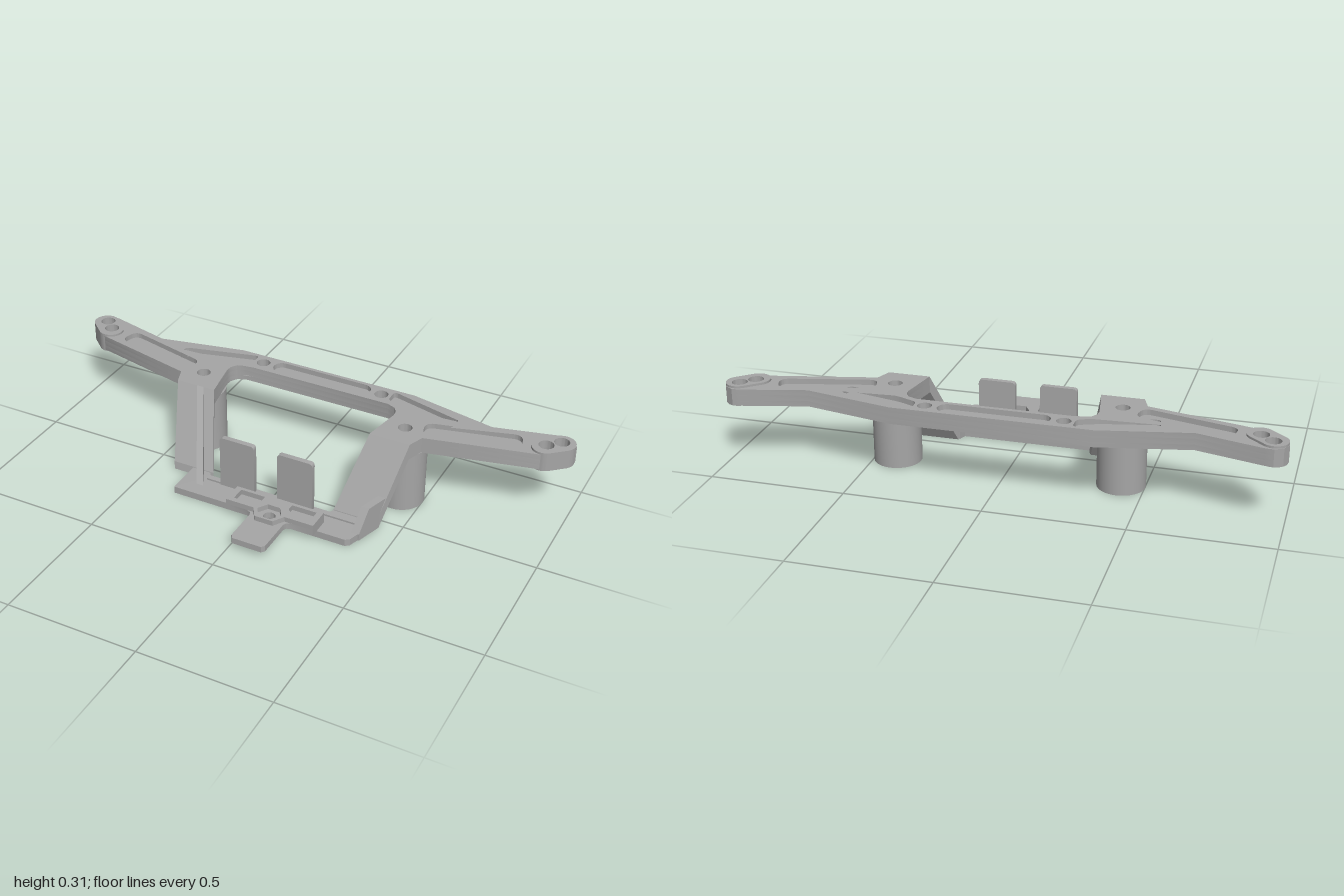
import * as THREE from 'three';
import { toCreasedNormals } from 'three/addons/utils/BufferGeometryUtils.js';

const grey = new THREE.MeshStandardMaterial({ color: 0xa6a6a6 });
grey.name = 'grey plastic';

const flip = (pts) => pts.map(([x, z]) => [-x, z]).reverse();
const polygon = (pts) => new THREE.Shape(pts.map(([a, b]) => new THREE.Vector2(a, b)));
const circle = (x, z, r) => new THREE.Shape().absarc(x, z, r, 0, Math.PI * 2);

// Polygon with rounded corners
function rounded(pts, r) {
  const s = new THREE.Shape();
  const v = pts.map(([a, b]) => new THREE.Vector2(a, b));
  v.forEach((p, i) => {
    const a = v[(i + v.length - 1) % v.length], b = v[(i + 1) % v.length];
    const toward = (q) => p.clone().add(q.clone().sub(p).setLength(Math.min(r, p.distanceTo(q) * 0.48)));
    const start = toward(a), end = toward(b);
    if (i) s.lineTo(start.x, start.y); else s.moveTo(start.x, start.y);
    s.quadraticCurveTo(p.x, p.y, end.x, end.y);
  });
  s.closePath();
  return s;
}

// Stadium between two points
function stadium(x1, z1, x2, z2, r) {
  const a = Math.atan2(z2 - z1, x2 - x1), q = Math.PI / 2;
  const s = new THREE.Shape();
  s.absarc(x2, z2, r, a - q, a + q);
  s.absarc(x1, z1, r, a + q, a + 3 * q);
  s.closePath();
  return s;
}

// Horizontal slab: outline in (x, z), between heights y0 and y1
function slab(name, shape, holes, y0, y1) {
  shape = shape.clone();
  shape.holes = holes;
  const g = new THREE.ExtrudeGeometry(shape, { depth: y1 - y0, bevelEnabled: false, curveSegments: 16 });
  g.rotateX(Math.PI / 2).translate(0, y1, 0);
  const mesh = new THREE.Mesh(toCreasedNormals(g, 0.5), grey);
  mesh.name = name;
  return mesh;
}

// Upright plate: profile in (z, y), its two sides placed by x as a function of z
function sidePlate(name, profile, lowX, highX) {
  const g = new THREE.ExtrudeGeometry(polygon(profile), { depth: 1, bevelEnabled: false });
  g.rotateY(-Math.PI / 2);
  const p = g.attributes.position;
  for (let i = 0; i < p.count; i++) p.setX(i, (p.getX(i) < -0.5 ? lowX : highX)(p.getZ(i)));
  g.computeVertexNormals();
  const mesh = new THREE.Mesh(g, grey);
  mesh.name = name;
  return mesh;
}

export function createModel() {
  const model = new THREE.Group();
  model.name = 'bracket';

  // Winged top plate with pockets on both faces
  const half = [
    [0.36, -0.393], [0.69, -0.325], [0.925, -0.384], [0.955, -0.386], [0.985, -0.368], [1, -0.338],
    [0.993, -0.312], [0.975, -0.295], [0.91, -0.24], [0.495, -0.144], [0.473, -0.085],
    [0.318, -0.085], [0.345, -0.235], [0.343, -0.258], [0.328, -0.282], [0.295, -0.295],
  ];
  const outline = polygon([...half, ...flip(half)]);
  const armPocket = [[0.808, -0.325], [0.468, -0.242], [0.485, -0.165], [0.828, -0.248]];
  const webPocket = [[0.285, -0.382], [0.285, -0.322], [0.36, -0.292], [0.56, -0.247], [0.572, -0.308]];
  const pockets = [stadium(-0.167, -0.345, 0.167, -0.345, 0.034)];
  const bolts = [];
  for (const s of [1, -1]) {
    const side = (pts) => (s > 0 ? pts : flip(pts));
    pockets.push(rounded(side(armPocket), 0.035), rounded(side(webPocket), 0.018));
    bolts.push(circle(s * 0.247, -0.345, 0.026), circle(s * 0.415, -0.178, 0.026));
    bolts.push(circle(s * 0.946, -0.335, 0.028), circle(s * 0.902, -0.294, 0.028));
  }
  const plate = new THREE.Group();
  plate.name = 'topPlate';
  plate.add(
    slab('lowerFace', outline, [...bolts, ...pockets], 0.235, 0.255),
    slab('web', outline, bolts, 0.255, 0.277),
    slab('upperFace', outline, [...bolts, ...pockets], 0.277, 0.297),
  );
  model.add(plate);

  // Tip pads, hollow posts and slanted struts, mirrored
  const strut = [[-0.085, 0.297], [0.055, 0.03], [0.06, 0], [0.043, 0], [-0.085, 0.237]];
  for (const s of [1, -1]) {
    const word = s > 0 ? 'left' : 'right';
    const tipHoles = [circle(s * 0.946, -0.335, 0.028), circle(s * 0.902, -0.294, 0.028)];
    model.add(slab(word + 'TipPad', stadium(s * 0.9, -0.286, s * 0.95, -0.33, 0.048), tipHoles, 0.23, 0.305));
    model.add(slab(word + 'Post', circle(s * 0.415, -0.172, 0.0875), [circle(s * 0.415, -0.172, 0.064)], 0, 0.237));
    const inner = (z) => s * (0.318 - 0.49 * (z + 0.085));
    const outer = (z) => s * (0.473 - 0.4 * (z + 0.085));
    model.add(sidePlate(word + 'Strut', strut, s > 0 ? inner : outer, s > 0 ? outer : inner));
  }

  // Long thin rib on one strut, short gusset on the other
  model.add(sidePlate('rib', [[-0.085, 0.297], [0.14, 0.027], [0.14, 0.01], [0.05, 0.01], [-0.085, 0.25]],
    (z) => -0.39 + 0.52 * (z + 0.085), (z) => -0.362 + 0.52 * (z + 0.085)));
  model.add(sidePlate('gusset', [[0.01, 0.113], [0.097, 0.113], [0.145, 0.027], [0.145, 0], [0.043, 0], [0.005, 0.075]],
    (z) => 0.405 - 0.3 * z, (z) => 0.435 - 0.3 * z));

  // Base bar with a low back lip and two upright tabs
  const base = [
    [-0.335, 0.195], [0.36, 0.195], [0.375, 0.183], [0.415, 0.05], [0.25, 0.05],
    [0.24, 0.078], [-0.25, 0.078], [-0.265, 0.045], [-0.335, 0.045],
  ];
  model.add(slab('base', polygon(base), [], 0, 0.027));
  model.add(slab('backLip', polygon([[-0.25, 0.078], [0.38, 0.078], [0.38, 0.1], [-0.25, 0.1]]), [], 0.02, 0.034));
  for (const x of [-0.12, 0.115]) {
    const w = 0.07;
    const s = rounded([[x - w, 0.01], [x + w, 0.01], [x + w, 0.235], [x - w, 0.235]], 0.015);
    const g = new THREE.ExtrudeGeometry(s, { depth: 0.02, bevelEnabled: false, curveSegments: 6 });
    const tab = new THREE.Mesh(toCreasedNormals(g.translate(0, 0, 0.084), 0.5), grey);
    tab.name = 'uprightTab';
    model.add(tab);
  }

  // Front latch: tongue plate below, pocketed block with a hexagonal seat above
  const cx = 0.075, cz = 0.222;
  const mirrored = (pts) => [...pts, ...pts.map(([x, z]) => [-x, z]).reverse()].map(([x, z]) => [x + cx, z]);
  const tongue = mirrored([[0.175, 0.137], [0.175, 0.225], [0.09, 0.225], [0.072, 0.232], [0.067, 0.245], [0.067, 0.38], [0.057, 0.393]]);
  const block = mirrored([[0.175, 0.137], [0.175, 0.225], [0.062, 0.225], [0.036, 0.267]]);
  const hex = Array.from({ length: 6 }, (_, i) => [cx + 0.048 * Math.cos(i * Math.PI / 3), cz + 0.043 * Math.sin(i * Math.PI / 3)]);
  const seatPocket = [[0.152, 0.15], [0.152, 0.205], [0.085, 0.205], [0.055, 0.178], [0.055, 0.15]];
  const seatPockets = [1, -1].map((s) => polygon(seatPocket.map(([x, z]) => [cx + s * x, z])));
  model.add(slab('latchTongue', polygon(tongue), [circle(cx, cz, 0.023)], 0.0265, 0.05));
  model.add(slab('latchBlock', polygon(block), [polygon(hex), ...seatPockets], 0.05, 0.07));

  return model;
}
